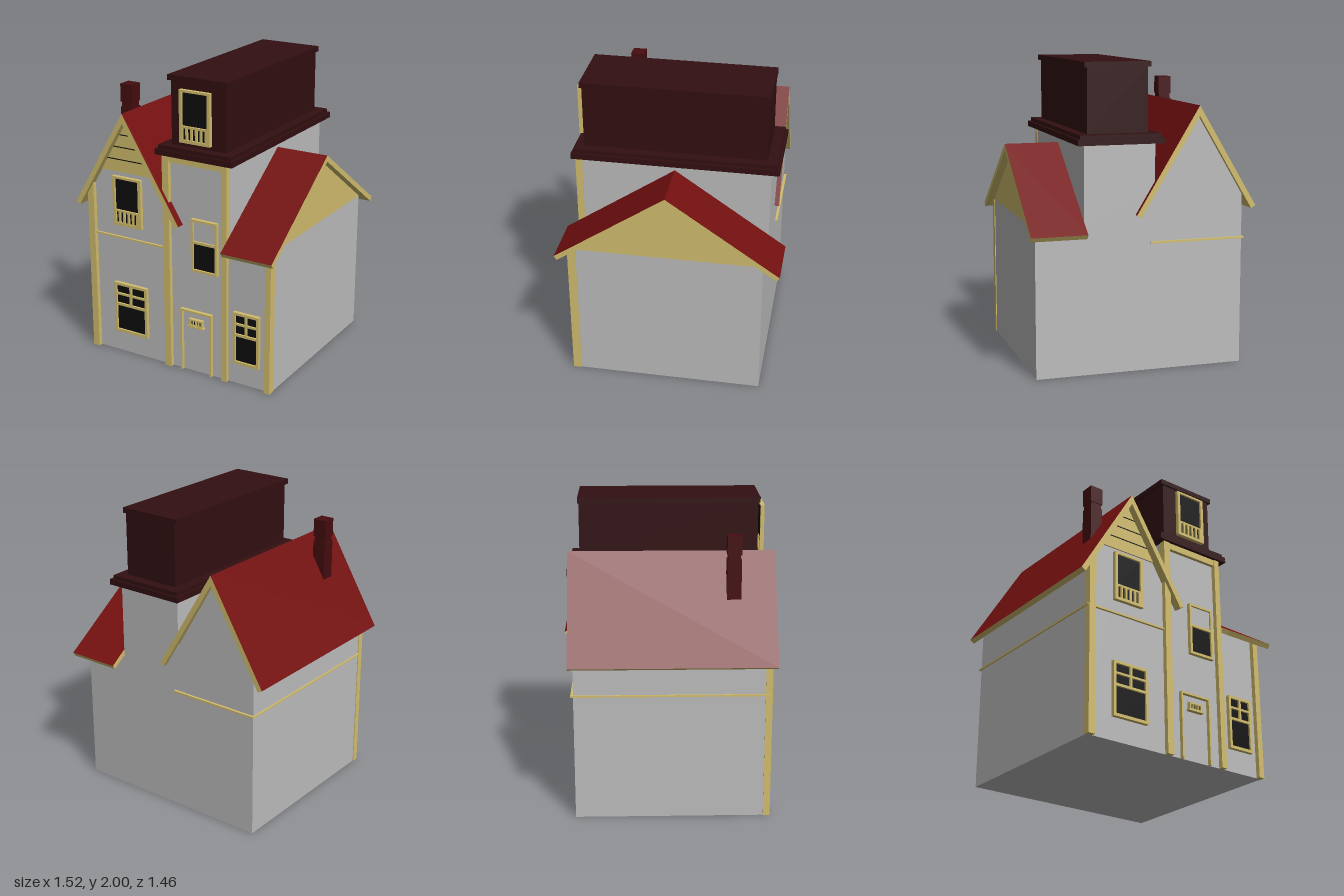
import * as THREE from 'three';

const mat = (name, color) => {
  const m = new THREE.MeshStandardMaterial({ color });
  m.name = name;
  return m;
};

export function createModel() {
  const wall = mat('wall grey', 0xbdbdbd);
  const trim = mat('trim tan', 0xd3be6e);
  const red = mat('roof red', 0x74100f);
  const dark = mat('mansard maroon', 0x320f11);
  const brick = mat('chimney brick', 0x460d10);
  const glass = mat('glass black', 0x0e0e0e);

  const house = new THREE.Group();
  house.name = 'house';
  const FRONT = 0.625, BACK = -0.62;

  const add = (name, geometry, material, parent = house) => {
    const mesh = new THREE.Mesh(geometry, material);
    mesh.name = name;
    parent.add(mesh);
    return mesh;
  };
  // box given by its two opposite corners
  const box = (name, material, x0, x1, y0, y1, z0, z1, parent = house) => {
    const mesh = add(name, new THREE.BoxGeometry(x1 - x0, y1 - y0, z1 - z0), material, parent);
    mesh.position.set((x0 + x1) / 2, (y0 + y1) / 2, (z0 + z1) / 2);
    return mesh;
  };
  const poly = (pts) => new THREE.Shape(pts.map(([x, y]) => new THREE.Vector2(x, y)));
  const prism = (name, material, pts, z0, z1, parent = house) => {
    const mesh = add(name, new THREE.ExtrudeGeometry(poly(pts), { depth: z1 - z0, bevelEnabled: false }), material, parent);
    mesh.position.z = z0;
    return mesh;
  };

  // Walls: one front outline with gabled wing, tower and low wing
  prism('walls', wall, [[-0.68, 0], [0.71, 0], [0.71, 0.97], [0.39, 0.97], [0.39, 1.49],
    [-0.08, 1.49], [-0.08, 1.165], [-0.37, 1.65], [-0.68, 1.13]], BACK, FRONT);

  // Pitched roof half: mitred slab with a red top; s is the slope direction
  const roofHalf = (name, s, ridgeX, ridgeY, run, drop, thick, z0, z1, parent) => {
    const g = new THREE.BoxGeometry(1, 1, 1);
    const p = g.attributes.position;
    const len = Math.hypot(run, drop);
    for (let i = 0; i < p.count; i++) {
      const eave = p.getX(i) * s > 0, under = p.getY(i) < 0;
      let x = eave ? run : 0, y = ridgeY - (eave ? drop : 0);
      if (under) {
        if (eave) { x -= thick * drop / len; y -= thick * run / len; }
        else y -= thick * len / run;
      }
      p.setXYZ(i, ridgeX + s * x, y, p.getZ(i) > 0 ? z1 : z0);
    }
    g.computeVertexNormals();
    add(name, g, [trim, trim, red, trim, trim, trim], parent);
  };
  roofHalf('gableRoofLeftSlope', -1, -0.37, 1.718, 0.395, 0.662, 0.035, -0.65, 0.68, house);
  roofHalf('gableRoofRightSlope', 1, -0.37, 1.718, 0.42, 0.69, 0.035, -0.65, 0.68, house);

  // Low wing roof, ridge running sideways
  const wing = new THREE.Group();
  wing.name = 'wingRoof';
  wing.rotation.y = Math.PI / 2;
  house.add(wing);
  for (const s of [-1, 1]) {
    roofHalf(s < 0 ? 'wingFrontSlope' : 'wingBackSlope', s, 0, 1.44, 0.732, 0.503, 0.034, 0.395, 0.76, wing);
  }
  prism('wingGable', trim, [[-0.625, 0.97], [0.62, 0.97], [0, 1.4]], 0.39, 0.71, wing);

  // Plank cladding at the top of the front gable
  prism('gableCladding', trim, [[-0.577, 1.305], [-0.163, 1.305], [-0.37, 1.65]], FRONT, 0.633);
  for (const y of [1.39, 1.475, 1.56]) {
    const h = (1.65 - y) / 1.67;
    box('claddingGroove', glass, -0.37 - h, -0.37 + h, y - 0.003, y + 0.003, 0.63, 0.636);
  }

  // Mansard top of the tower
  box('mansardLowerMoulding', dark, -0.125, 0.442, 1.487, 1.525, -0.675, 0.672);
  box('mansardUpperMoulding', dark, -0.108, 0.425, 1.525, 1.55, -0.66, 0.658);
  box('mansardBody', dark, -0.04, 0.36, 1.55, 1.965, -0.59, 0.6);
  box('mansardCap', dark, -0.06, 0.378, 1.965, 2, -0.597, 0.612);

  // Chimney
  for (const [name, r, y0, y1] of [['chimneyStack', 0.046, 1.3, 1.69], ['chimneyNeck', 0.04, 1.69, 1.725],
    ['chimneyTop', 0.046, 1.725, 1.845]]) {
    box(name, brick, -0.492 - r, -0.492 + r, y0, y1, 0.408 - r, 0.408 + r);
  }

  // Corner posts and bands
  prism('leftPost', trim, [[-0.685, 0], [-0.637, 0], [-0.637, 1.2], [-0.685, 1.12]], 0.61, 0.655);
  box('towerLeftPost', trim, -0.085, -0.037, 0, 1.487, 0.61, 0.655);
  box('towerRightPost', trim, 0.354, 0.394, 0, 1.487, 0.61, 0.655);
  box('rightPost', trim, 0.675, 0.715, 0, 0.965, 0.6, 0.655);
  box('towerTopTrim', trim, -0.037, 0.354, 1.443, 1.487, FRONT, 0.65);
  box('frontBand', trim, -0.69, -0.085, 0.839, 0.851, FRONT, 0.64);
  box('sideBand', trim, -0.69, -0.68, 0.839, 0.851, -0.637, FRONT);
  box('backBand', trim, -0.68, -0.05, 0.839, 0.851, -0.637, BACK);

  // Framed opening: panes are [x0, x1, y0, y1, material] measured from the lower left corner
  const framed = (name, x, y, w, h, panes) => {
    const g = new THREE.Group();
    g.name = name;
    g.position.set(x, y, FRONT);
    house.add(g);
    const shape = poly([[0, 0], [w, 0], [w, h], [0, h]]);
    for (const [x0, x1, y0, y1, material = glass] of panes) {
      shape.holes.push(new THREE.Path([[x0, y0], [x0, y1], [x1, y1], [x1, y0]].map(([a, b]) => new THREE.Vector2(a, b))));
      box('pane', material, x0, x1, y0, y1, 0.005, 0.013, g);
    }
    add('frame', new THREE.ExtrudeGeometry(shape, { depth: 0.026, bevelEnabled: false }), trim, g);
  };

  // Ground floor windows with divided upper lights
  const sash = (w) => {
    const m = w / 2, panes = [[0.018, w - 0.018, 0.02, 0.198]];
    for (const [y0, y1] of [[0.215, 0.276], [0.29, 0.346]]) {
      panes.push([0.018, m - 0.008, y0, y1], [m + 0.008, w - 0.018, y0, y1]);
    }
    return panes;
  };
  framed('leftGroundWindow', -0.495, 0.152, 0.263, 0.364, sash(0.263));
  framed('rightGroundWindow', 0.438, 0.152, 0.192, 0.364, sash(0.192));

  // Balcony windows with a balustrade below the glass
  const balcony = [[0.02, 0.202, 0.11, 0.325]];
  for (let i = 0; i < 5; i++) balcony.push([0.025 + i * 0.035, 0.046 + i * 0.035, 0.02, 0.096]);
  framed('gableWindow', -0.485, 0.935, 0.224, 0.34, balcony);
  framed('mansardWindow', 0.048, 1.587, 0.224, 0.34, balcony);

  // Tower window with a blind upper pane
  framed('towerWindow', 0.125, 0.73, 0.195, 0.36, [[0.017, 0.178, 0.017, 0.195], [0.017, 0.178, 0.212, 0.345, wall]]);

  // Door surround and small grille
  box('doorLeftJamb', trim, 0.037, 0.049, 0, 0.445, FRONT, 0.65);
  box('doorRightJamb', trim, 0.262, 0.275, 0, 0.445, FRONT, 0.65);
  box('doorLintel', trim, 0.049, 0.262, 0.432, 0.445, FRONT, 0.65);
  const slots = [];
  for (let i = 0; i < 4; i++) slots.push([0.013 + i * 0.021, 0.028 + i * 0.021, 0.013, 0.043]);
  framed('doorGrille', 0.103, 0.332, 0.104, 0.054, slots);
  box('doorGrilleSill', trim, 0.095, 0.215, 0.328, 0.338, FRONT, 0.655);

  return house;
}
